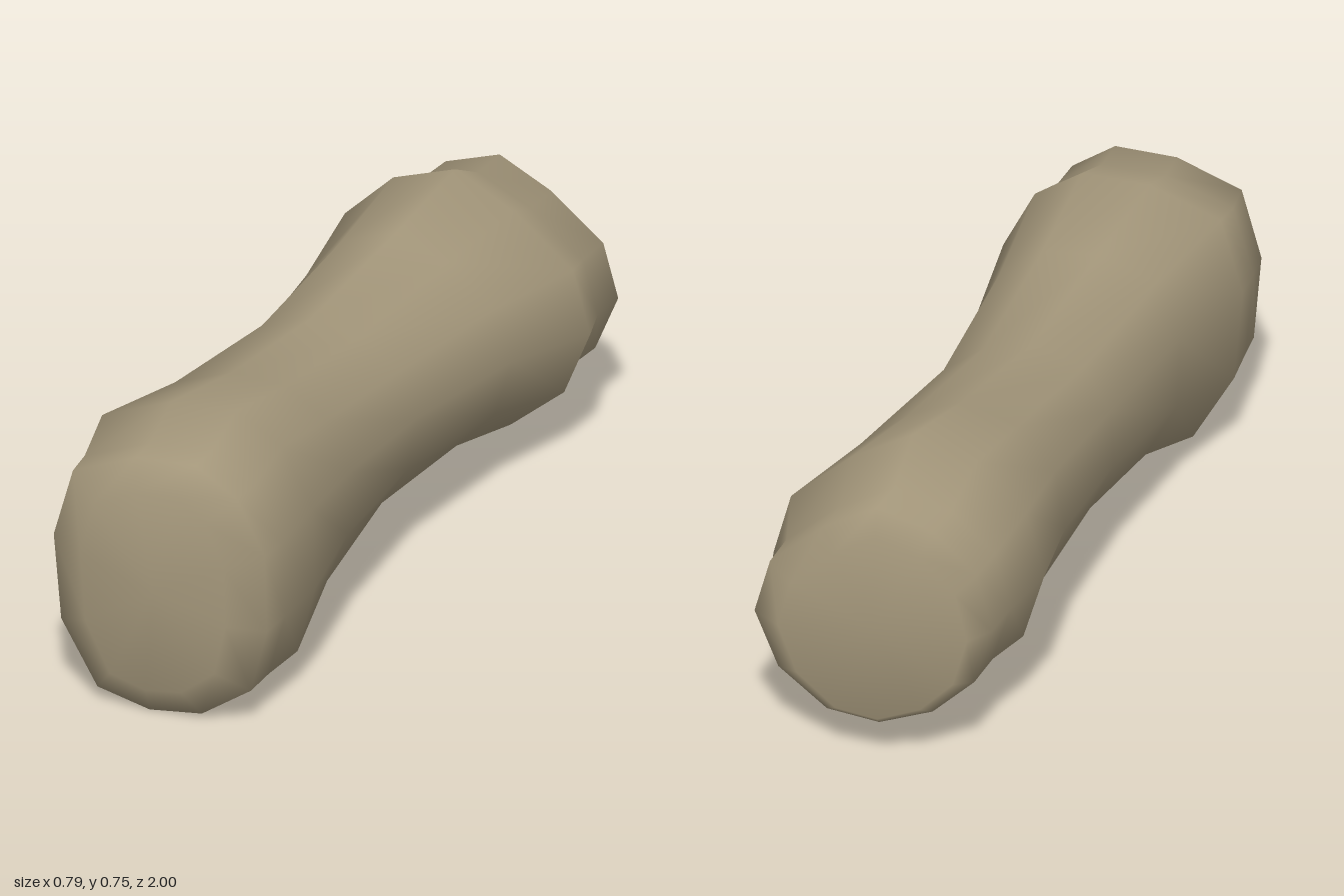
import * as THREE from 'three';

// Unit cross-sections at the two ends (clockwise from the top, seen from the front)
const frontShape = [[-.23, .98], [.33, 1], [.72, .79], [.98, .37], [1, -.22], [.85, -.71],
  [.39, -.96], [-.1, -1], [-.59, -.89], [-.93, -.4], [-1, .26], [-.82, .79]];
const backShape = [[-.03, 1], [.42, .75], [.87, .36], [1, -.12], [.8, -.61], [.39, -.94],
  [-.05, -1], [-.5, -.83], [-.85, -.5], [-1, 0], [-.87, .5], [-.5, .85]];

// Stations along the length: z, left edge, right edge, bottom, top
const stations = [
  [1, -.28, .10, .09, .63],
  [.93, -.377, .182, .002, .69],
  [.84, -.383, .195, .01, .687],
  [.70, -.396, .218, .002, .736],
  [.41, -.328, .20, .085, .687],
  [0, -.28, .21, .13, .65],
  [-.41, -.272, .298, .115, .70],
  [-.69, -.296, .392, .058, .75],
  [-.83, -.252, .357, .088, .677],
  [-.94, -.237, .367, .078, .677],
  [-1, -.19, .29, .12, .627],
];

function bodyGeometry() {
  const n = frontShape.length, pos = [], idx = [];
  for (const [z, x0, x1, y0, y1] of stations) {
    const t = THREE.MathUtils.clamp((.7 - z) / 1.4, 0, 1);
    for (let i = 0; i < n; i++) {
      const u = THREE.MathUtils.lerp(frontShape[i][0], backShape[i][0], t);
      const v = THREE.MathUtils.lerp(frontShape[i][1], backShape[i][1], t);
      pos.push((x0 + x1) / 2 + u * (x1 - x0) / 2, (y0 + y1) / 2 + v * (y1 - y0) / 2, z);
    }
  }
  // Sides
  for (let s = 0; s < stations.length - 1; s++) {
    for (let i = 0; i < n; i++) {
      const a = s * n + i, b = s * n + (i + 1) % n;
      idx.push(a, b, b + n, a, b + n, a + n);
    }
  }
  // Flat end caps, sharing the rim for soft shading
  for (const [s, front] of [[0, true], [stations.length - 1, false]]) {
    const [z, x0, x1, y0, y1] = stations[s];
    const c = pos.length / 3;
    pos.push((x0 + x1) / 2, (y0 + y1) / 2, z);
    for (let i = 0; i < n; i++) {
      const a = s * n + i, b = s * n + (i + 1) % n;
      idx.push(c, front ? b : a, front ? a : b);
    }
  }
  const g = new THREE.BufferGeometry();
  g.setAttribute('position', new THREE.Float32BufferAttribute(pos, 3));
  g.setIndex(idx);
  g.computeVertexNormals();
  return g;
}

export function createModel() {
  const group = new THREE.Group();
  group.name = 'bone';
  const material = new THREE.MeshStandardMaterial({ color: 0xa3967a });
  material.name = 'dull tan';
  const body = new THREE.Mesh(bodyGeometry(), material);
  body.name = 'boneShaft';
  group.add(body);
  return group;
}
